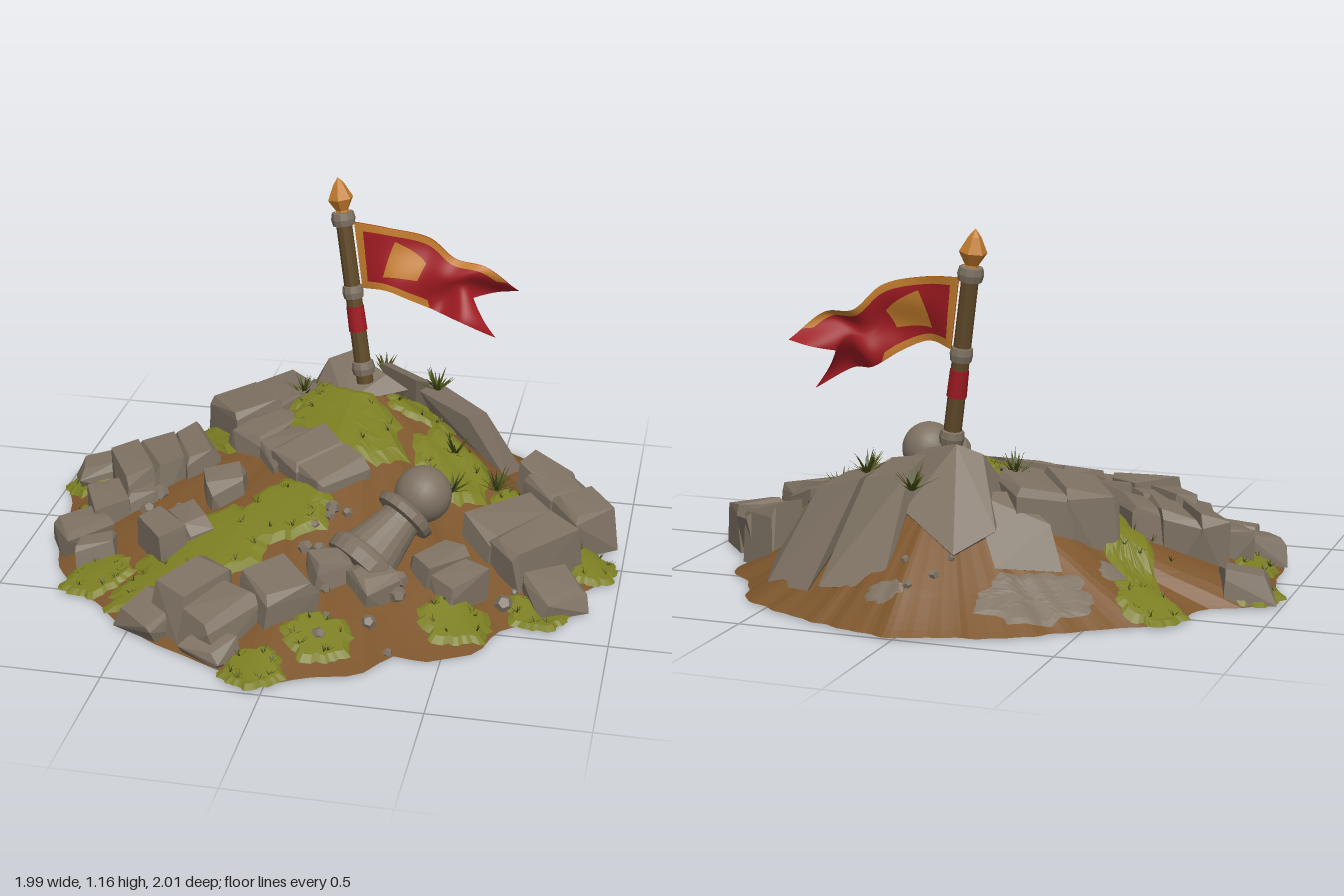
import * as THREE from 'three';
import { mergeGeometries } from 'three/addons/utils/BufferGeometryUtils.js';
import { ConvexGeometry } from 'three/addons/geometries/ConvexGeometry.js';

const V = (x, y, z) => new THREE.Vector3(x, y, z);
const mat = (name, color, extra = {}) => new THREE.MeshStandardMaterial({ name, color, ...extra });
const flat = { flatShading: true }, both = { flatShading: true, side: THREE.DoubleSide };

let seed = 7;
const rnd = () => (seed = (seed * 16807) % 2147483647) / 2147483647;
const jit = (a) => (rnd() - 0.5) * 2 * a;

// Ground outline (x, z) seen from above, and the peak the slopes run down from
const PEAK = { x: 0.03, z: -0.45 };
const OUTLINE = [[0, -1], [0.15, -0.97], [0.3, -0.92], [0.45, -0.85], [0.6, -0.75], [0.66, -0.6], [0.78, -0.47],
  [0.8, -0.33], [0.9, -0.1], [0.96, 0.05], [0.9, 0.17], [0.85, 0.33], [0.74, 0.42], [0.65, 0.5], [0.59, 0.64], [0.45, 0.72],
  [0.36, 0.7], [0.27, 0.83], [0.08, 0.9], [-0.05, 0.96], [-0.15, 0.9], [-0.35, 0.8], [-0.5, 0.72], [-0.6, 0.61], [-0.74, 0.5],
  [-0.84, 0.35], [-0.9, 0.2], [-0.92, 0], [-0.97, -0.2], [-0.94, -0.31], [-0.78, -0.4], [-0.73, -0.57], [-0.5, -0.75],
  [-0.3, -0.9], [-0.1, -0.96]];
const polar = new THREE.CatmullRomCurve3(OUTLINE.map(([x, z]) => V(x, 0, z)), true).getPoints(240)
  .map((p) => [Math.atan2(p.z - PEAK.z, p.x - PEAK.x), Math.hypot(p.x - PEAK.x, p.z - PEAK.z)])
  .sort((a, b) => a[0] - b[0]);

function edgeRadius(a) {
  let i = polar.findIndex((p) => p[0] > a);
  if (i < 1) return polar[0][1];
  const [a0, r0] = polar[i - 1], [a1, r1] = polar[i];
  return r0 + (r1 - r0) * (a - a0) / (a1 - a0 || 1) + 0.008 * Math.sin(31 * a) * Math.sin(7 * a);
}
function ground(x, z) {
  const dx = x - PEAK.x, dz = z - PEAK.z;
  const t = Math.min(1, Math.hypot(dx, dz) / edgeRadius(Math.atan2(dz, dx)));
  return 0.45 * Math.pow(1 - t, 1.05) + 0.012 * Math.sin(9 * x + 1) * Math.cos(8 * z) * Math.min(1, 4 * (1 - t));
}

// Upward-facing disc of rings whose points come from at(t, angle)
function discGeometry(rings, segs, at) {
  const pos = [], idx = [];
  for (let i = 0; i <= rings; i++)
    for (let j = 0; j < segs; j++) pos.push(...at(i / rings, -Math.PI + (j / segs) * Math.PI * 2));
  for (let i = 0; i < rings; i++)
    for (let j = 0; j < segs; j++) {
      const a = i * segs + j, b = i * segs + (j + 1) % segs;
      idx.push(a, b, a + segs, b, b + segs, a + segs);
    }
  const g = new THREE.BufferGeometry();
  g.setAttribute('position', new THREE.Float32BufferAttribute(pos, 3));
  g.setIndex(idx);
  g.computeVertexNormals();
  return g;
}

// Ragged patch lying on the slope
function patchGeometry(x, z, rx, rz, rot, lift) {
  const ph = rnd() * 6, c = Math.cos(rot), s = Math.sin(rot);
  return discGeometry(5, 44, (t, a) => {
    const r = t * (1 + 0.07 * Math.sin(5 * a + ph) + 0.06 * Math.sin(9 * a + ph * 2) + 0.04 * Math.sin(17 * a));
    const u = r * rx * Math.cos(a), v = r * rz * Math.sin(a);
    const px = x + u * c + v * s, pz = z - u * s + v * c;
    return [px, ground(px, pz) + (t === 1 ? 0.004 : lift), pz];
  });
}

// Broken, slightly tilted block standing in the ground, cut into pieces along its width
function rockGeometry(x, z, w, d, rot, top, pieces) {
  const out = V(x - PEAK.x, 0, z - PEAK.z).normalize(), c = Math.cos(rot), s = Math.sin(rot), parts = [];
  for (let k = 0; k < pieces; k++) {
    const pw = w / pieces, cx = (k + 0.5) * pw - w / 2, drop = rnd() * 0.03 * (pieces > 1), pts = [];
    for (const [level, grow] of [[0, 1.1], [0.8, 1], [1, 0.86]])
      for (const [sx, sz] of [[-1, -1], [1, -1], [1, 1], [-1, 1]]) {
        const u = cx + sx * pw / 2 * grow + jit(0.014), v = sz * d / 2 * grow + jit(0.022);
        const ox = u * c + v * s, oz = -u * s + v * c;
        const y = level ? top - drop - (1 - level) * 0.12 - 0.22 * (ox * out.x + oz * out.z) + jit(0.01) : 0;
        pts.push(V(x + ox, Math.max(0.004, y), z + oz));
      }
    parts.push(new ConvexGeometry(pts));
  }
  return mergeGeometries(parts);
}

// Tuft of pointed blades
function tuftGeometry(x, z, y, size, count) {
  const pos = [];
  for (let i = 0; i < count; i++) {
    const a = rnd() * 6.28, l = size * (0.6 + 0.5 * rnd()), lean = 0.3 + 0.7 * rnd();
    const c = Math.cos(a), s = Math.sin(a), w = size * 0.09;
    pos.push(x - s * w, y, z + c * w, x + s * w, y, z - c * w, x + c * l * lean, y + l * (1.15 - 0.75 * lean), z + s * l * lean);
  }
  const g = new THREE.BufferGeometry();
  g.setAttribute('position', new THREE.Float32BufferAttribute(pos, 3));
  g.computeVertexNormals();
  return g;
}

// Waving swallow-tailed flag surface, u from pole to tail, v from top to bottom
const line = (pts) => new THREE.CatmullRomCurve3(pts.map((p) => V(...p)));
const flagTop = line([[0, 1, -0.44], [0.12, 0.995, -0.42], [0.26, 0.965, -0.43], [0.35, 0.885, -0.45], [0.46, 0.87, -0.45], [0.57, 0.78, -0.48]]);
const flagLow = line([[0.035, 0.77, -0.42], [0.13, 0.785, -0.37], [0.22, 0.75, -0.37], [0.3, 0.7, -0.42], [0.39, 0.685, -0.39], [0.5, 0.62, -0.42]]);
function flagPoint(u, v, lift) {
  const p = flagTop.getPoint(u).lerp(flagLow.getPoint(u), v), n = (1 - Math.abs(2 * v - 1)) * u ** 4;
  p.x -= n * 0.12;
  p.y += n * 0.05;
  p.z += lift + 0.02 * Math.sin(v * 7 + u * 9) * u;
  return p;
}
// Piece of the flag between four (u, v) corners: top left, top right, low left, low right
function flagPiece([a, b, c, d], lift = 0, nu = 24, nv = 12) {
  const g = new THREE.PlaneGeometry(1, 1, nu, nv), p = g.attributes.position, uv = g.attributes.uv;
  const mix = THREE.MathUtils.lerp;
  for (let i = 0; i < p.count; i++) {
    const s = uv.getX(i), t = 1 - uv.getY(i);
    const q = flagPoint(mix(mix(a[0], b[0], s), mix(c[0], d[0], s), t), mix(mix(a[1], b[1], s), mix(c[1], d[1], s), t), lift);
    p.setXYZ(i, q.x, q.y, q.z);
  }
  g.computeVertexNormals();
  return g;
}

export function createModel() {
  const root = new THREE.Group();
  const dirt = mat('dirt', 0x7c552c, flat), rock = mat('rock', 0x7d7162, flat), moss = mat('moss', 0x7b7e22, both);
  const blade = mat('grass blade', 0x4a5018, both), wood = mat('wood', 0x604a29, flat), stone = mat('carved stone', 0x7d7162);
  const red = mat('red cloth', 0xa01b22, { side: THREE.DoubleSide }), gold = mat('gold', 0xc47d2d, both);
  const add = (name, geo, m, parent = root) => {
    const o = new THREE.Mesh(geo, m);
    o.name = name;
    parent.add(o);
    return o;
  };

  // Mound with a flat underside
  const rim = (t, a, y) => {
    const r = edgeRadius(a) * t, x = PEAK.x + r * Math.cos(a), z = PEAK.z + r * Math.sin(a);
    return [x, y ?? ground(x, z), z];
  };
  add('mound', discGeometry(24, 160, (t, a) => rim(t, a)), dirt);
  add('underside', discGeometry(1, 160, (t, a) => rim(t, -a, 0)), dirt);

  // Blocks: x, z, width, depth, turn, top height, pieces
  const upper = [[-0.3, -0.38, 0.34, 0.24, 0.65, 0.37, 2], [-0.2, -0.15, 0.28, 0.22, -0.7, 0.36, 2], [-0.02, 0.01, 0.26, 0.2, -0.75, 0.345, 2],
    [-0.6, -0.1, 0.32, 0.24, 0.5, 0.25, 3], [-0.7, 0.07, 0.22, 0.16, 0.5, 0.18, 2], [-0.33, 0.1, 0.13, 0.1, 0.4, 0.27, 1],
    [0.68, 0.1, 0.26, 0.3, -0.7, 0.2, 2], [0.8, -0.2, 0.3, 0.16, -0.85, 0.19, 2], [0.7, -0.33, 0.16, 0.14, -0.5, 0.2, 1]];
  const lower = [[-0.88, -0.25, 0.14, 0.13, 0.4, 0.1, 1], [-0.8, 0.21, 0.16, 0.14, 0.6, 0.11, 1], [-0.45, 0.3, 0.2, 0.17, 0.7, 0.21, 2],
    [-0.25, 0.68, 0.28, 0.2, -0.6, 0.17, 2], [-0.03, 0.61, 0.17, 0.17, 0.7, 0.19, 1], [-0.43, 0.7, 0.16, 0.12, -0.6, 0.09, 1],
    [-0.2, 0.82, 0.14, 0.1, -0.5, 0.07, 1], [0.47, 0.37, 0.19, 0.16, -0.7, 0.18, 2], [0.81, 0.29, 0.16, 0.13, 0.6, 0.09, 1],
    [0.1, 0.46, 0.12, 0.09, 0.4, 0.2, 1], [-0.72, 0.33, 0.12, 0.1, 0.3, 0.11, 1], [0.24, 0.47, 0.12, 0.1, 0.9, 0.17, 1]];
  for (const r of [...upper, ...lower]) add('rock block', rockGeometry(...r), rock);

  // Crag under the pole and the steep slabs behind it
  const crags = [
    [[-0.1, 0.46, -0.5], [-0.02, 0.49, -0.52], [0.12, 0.45, -0.42], [0.2, 0.4, -0.42], [0, 0.38, -0.3], [-0.14, 0.36, -0.42],
      [-0.2, 0.26, -0.66], [-0.1, 0.2, -0.76], [0.1, 0.3, -0.66], [0, 0.1, -0.5]],
    [[0.08, 0.45, -0.52], [0.22, 0.42, -0.46], [0.27, 0.37, -0.56], [0.1, 0.41, -0.62], [0.1, 0.1, -0.84], [0.32, 0.08, -0.82], [0.2, 0.02, -0.6]],
    [[0.24, 0.4, -0.42], [0.42, 0.34, -0.36], [0.47, 0.31, -0.48], [0.28, 0.37, -0.58], [0.36, 0.06, -0.81], [0.55, 0.04, -0.7], [0.63, 0.06, -0.48], [0.58, 0.1, -0.34], [0.4, 0.02, -0.5]],
    [[-0.2, 0.35, -0.5], [-0.1, 0.36, -0.6], [-0.34, 0.27, -0.56], [-0.4, 0.14, -0.62], [-0.22, 0.16, -0.72], [-0.25, 0.1, -0.5]]];
  for (const pts of crags) add('crag', new ConvexGeometry(pts.map((p) => V(...p))), rock);
  for (const p of [[-0.35, -0.73, 0.18, 0.08, 0.6], [0.08, -0.87, 0.06, 0.03, 0], [-0.55, -0.48, 0.08, 0.05, 0.8]])
    add('bare stone', patchGeometry(...p, 0.008), rock);

  // Moss cushions (x, z, radii, turn), each with a few tufts
  const cushions = [[-0.66, -0.55, 0.11, 0.1, 0], [-0.5, -0.33, 0.25, 0.08, -0.9], [-0.91, -0.23, 0.085, 0.11, 0], [-0.84, 0.05, 0.07, 0.1, 0],
    [-0.68, 0.45, 0.12, 0.1, 0.5], [-0.32, 0.38, 0.25, 0.17, 0.6], [-0.42, 0.53, 0.2, 0.11, 0.3], [-0.1, 0.22, 0.16, 0.14, 0.4],
    [0.02, -0.2, 0.24, 0.16, -0.6], [0.4, -0.16, 0.13, 0.18, 0.3], [0.63, -0.08, 0.08, 0.1, 0], [0.9, 0.05, 0.09, 0.1, 0],
    [0.76, 0.38, 0.1, 0.09, 0], [0.52, 0.53, 0.12, 0.1, 0.6], [0.12, 0.73, 0.11, 0.1, 0], [-0.05, 0.9, 0.1, 0.09, 0],
    [0.25, -0.38, 0.12, 0.08, 0], [-0.14, -0.36, 0.08, 0.09, 0]];
  const tufts = [];
  for (const c of cushions) {
    add('moss cushion', patchGeometry(...c, 0.018), moss);
    for (let k = 0; k < 7; k++) {
      const a = k * 0.9 + rnd(), x = c[0] + Math.cos(a) * c[2] * 0.65, z = c[1] + Math.sin(a) * c[3] * 0.65;
      tufts.push(tuftGeometry(x, z, ground(x, z) + 0.014, 0.035, 6));
    }
  }
  for (const [x, z, y] of [[0.08, -0.64, 0.36], [0.29, -0.5, 0.37], [-0.16, -0.37, 0.37], [0.56, -0.1, 0.2], [0.4, -0.22, 0.26], [0.42, -0.02, 0.22]])
    tufts.push(tuftGeometry(x, z, y, 0.095, 28));
  add('grass tufts', mergeGeometries(tufts), blade);

  // Loose stones on the bare earth
  for (const [cx, cz, spread, n] of [[0.2, 0.57, 0.16, 14], [0.1, 0.28, 0.1, 6], [0.05, -0.8, 0.14, 5], [-0.55, 0.15, 0.1, 5], [0.62, 0.32, 0.08, 4]])
    for (let i = 0; i < n; i++) {
      const x = cx + jit(spread), z = cz + jit(spread), r = 0.012 + 0.02 * rnd();
      const p = add('loose stone', new THREE.DodecahedronGeometry(r), rock);
      p.position.set(x, ground(x, z) + r * 0.3, z);
      p.rotation.set(rnd() * 3, rnd() * 3, 0);
    }

  // Group whose local y runs from one point to another
  const along = (name, from, to) => {
    const g = new THREE.Group();
    g.name = name;
    g.position.copy(from);
    g.quaternion.setFromUnitVectors(V(0, 1, 0), to.clone().sub(from).normalize());
    root.add(g);
    return g;
  };
  const lathe = (pts, n) => new THREE.LatheGeometry(pts.map((p) => new THREE.Vector2(...p)), n);

  // Fallen stone baluster with a ball head
  const baluster = along('fallen baluster', V(0.18, 0.12, 0.39), V(0.355, 0.31, 0.2));
  add('baluster body', lathe([[0, 0], [0.125, 0], [0.13, 0.04], [0.115, 0.06], [0.1, 0.07], [0.085, 0.13], [0.07, 0.2],
    [0.07, 0.215], [0.1, 0.22], [0.105, 0.245], [0.08, 0.26], [0, 0.265]], 20), rock, baluster);
  add('baluster ball', new THREE.SphereGeometry(0.094, 24, 16), stone, baluster).position.y = 0.325;

  // Leaning flagpole with collars, cloth wrap and spearhead
  const pole = along('flagpole', V(0.053, 0.43, -0.388), V(-0.04, 1.03, -0.438));
  const ring = (name, y, r, h, m) => { add(name, new THREE.CylinderGeometry(r * 0.94, r, h, 10), m, pole).position.y = y; };
  ring('shaft', 0.3, 0.029, 0.6, wood);
  ring('cloth wrap', 0.235, 0.032, 0.09, red);
  for (const [y, r] of [[0.055, 0.041], [0.33, 0.037], [0.59, 0.042]])
    add('collar', lathe([[0.025, -0.025], [r * 0.9, -0.022], [r, 0], [r * 0.9, 0.022], [0.025, 0.025]], 10), rock, pole).position.y = y;
  add('spearhead', lathe([[0, 0.6], [0.025, 0.605], [0.022, 0.62], [0.045, 0.66], [0.02, 0.71], [0, 0.735]], 6), gold, pole);

  // Flag with gold trim and a plain gold badge on each side
  const flag = new THREE.Group();
  flag.name = 'flag';
  root.add(flag);
  add('flag cloth', flagPiece([[0, 0], [1, 0], [0, 1], [1, 1]], 0, 48, 24), red, flag);
  for (const lift of [0.003, -0.003]) {
    add('top trim', flagPiece([[0, 0], [0.93, 0], [0, 0.12], [0.9, 0.1]], lift, 48, 3), gold, flag);
    add('bottom trim', flagPiece([[0, 0.89], [0.5, 0.89], [0, 1], [0.53, 1]], lift, 24, 3), gold, flag);
    add('pole trim', flagPiece([[0, 0.1], [0.05, 0.1], [0, 0.9], [0.05, 0.9]], lift, 3, 16), gold, flag);
    add('badge', flagPiece([[0.24, 0.2], [0.43, 0.36], [0.17, 0.8], [0.4, 0.66]], lift, 12, 12), gold, flag);
  }
  return root;
}
